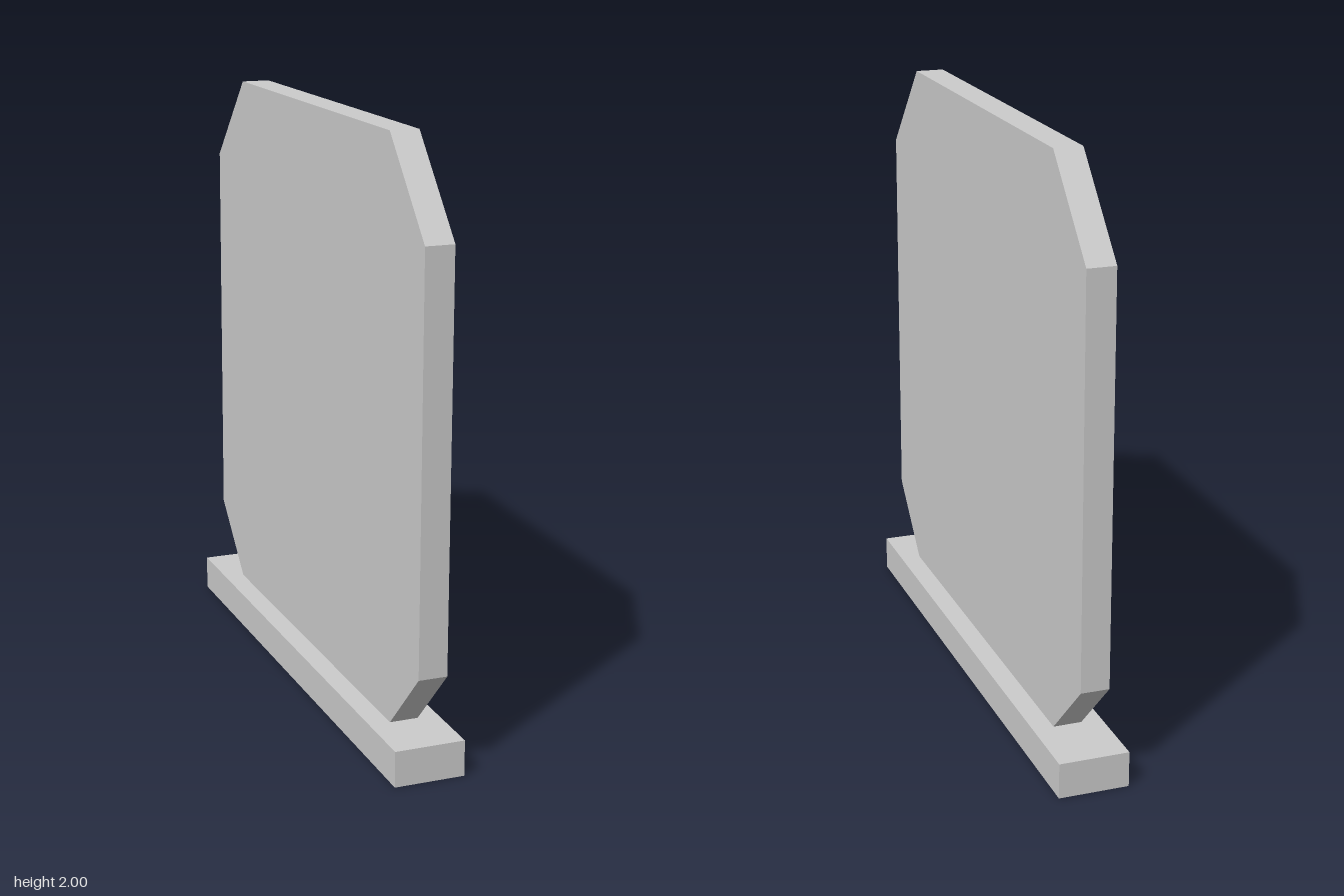
import * as THREE from 'three';

export function createModel() {
  const group = new THREE.Group();
  const material = new THREE.MeshStandardMaterial({ color: 0xcccccc, flatShading: true });

  // Foot: a long flat bar running front to back
  const base = new THREE.Mesh(new THREE.BoxGeometry(0.236, 0.12, 1.895), material);
  base.name = 'base';
  base.position.set(0, 0.06, -0.008);
  group.add(base);

  // Upright slab with four cut corners, outlined as (z, y)
  const outline = [
    [-0.72, 0.12], [0.73, 0.12], [0.952, 0.35], [0.957, 1.7],
    [0.687, 2], [-0.667, 2], [-0.943, 1.705], [-0.95, 0.35],
  ].map(([z, y]) => new THREE.Vector2(z, y));
  const thickness = 0.096;
  const geometry = new THREE.ExtrudeGeometry(new THREE.Shape(outline), {
    depth: thickness,
    bevelEnabled: false,
  });
  geometry.translate(0, 0, -thickness / 2);
  geometry.rotateY(-Math.PI / 2);
  const panel = new THREE.Mesh(geometry, material);
  panel.name = 'panel';
  group.add(panel);

  return group;
}
